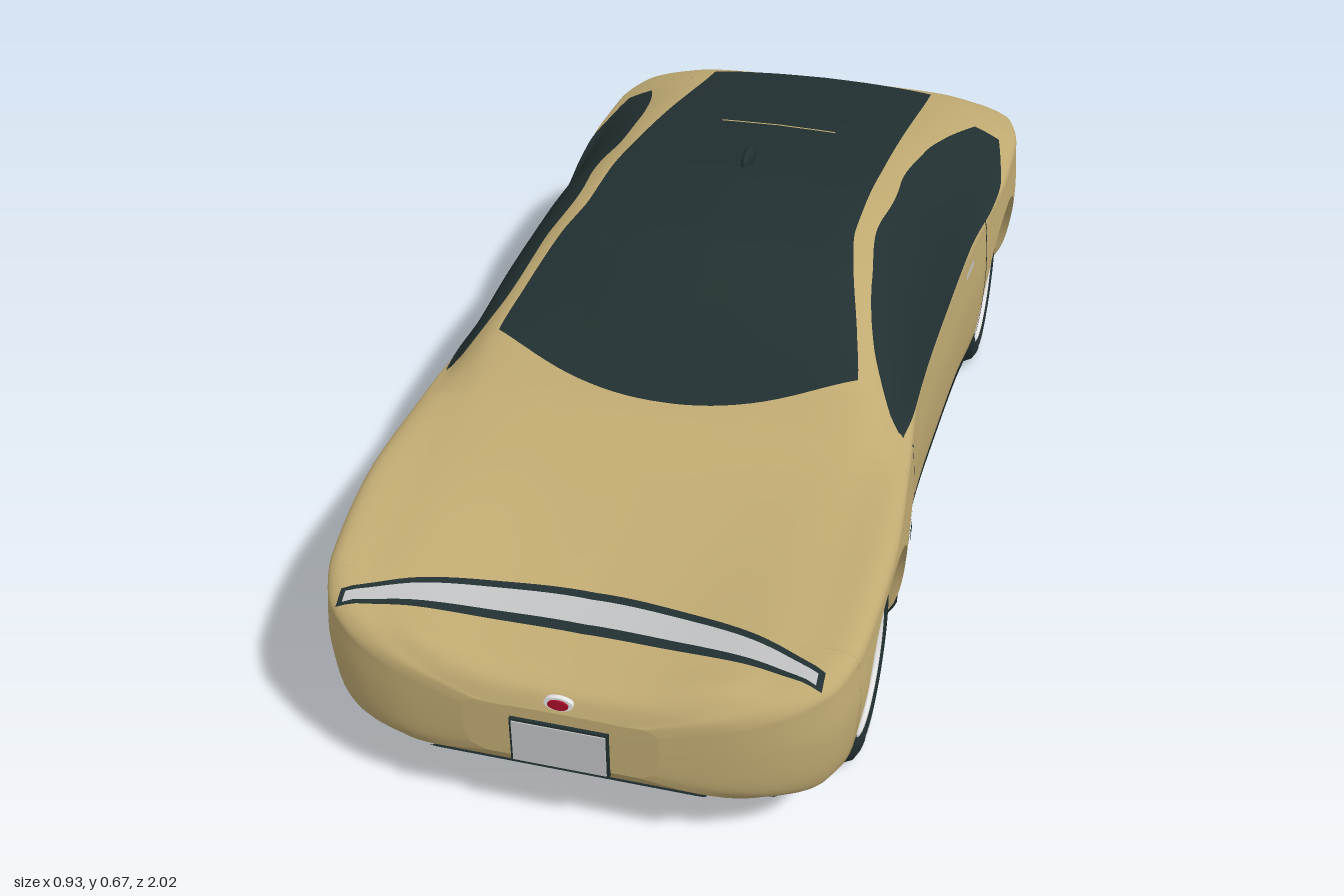
import * as THREE from 'three';

const mat = (name, color, side = THREE.DoubleSide) => {
  const m = new THREE.MeshStandardMaterial({ color, side });
  m.name = name;
  return m;
};
const M = {
  paint: mat('gold paint', 0xc0aa72), dark: mat('dark glass and trim', 0x223031),
  silver: mat('silver', 0xbfc1c3), white: mat('white', 0xe6e6e6), red: mat('red', 0xa80f2a),
};

// Body stations: z, half width, floor y, shoulder y, window base x, roof edge x, roof edge y, centre top y
const ST = [
  [-1, .31, .20, .42, .29, .25, .445, .45], [-.985, .37, .15, .435, .35, .27, .462, .468],
  [-.93, .435, .112, .445, .405, .28, .488, .497], [-.8, .463, .085, .45, .435, .295, .512, .527],
  [-.65, .466, .075, .45, .437, .29, .543, .558], [-.5, .455, .07, .446, .43, .288, .572, .588],
  [-.3, .437, .07, .44, .422, .28, .604, .622], [-.1, .43, .07, .44, .418, .28, .625, .648],
  [.1, .426, .07, .44, .415, .287, .612, .643], [.25, .43, .07, .44, .413, .32, .55, .585],
  [.36, .441, .07, .435, .413, .335, .5, .515], [.44, .45, .07, .425, .42, .33, .455, .462],
  [.65, .466, .075, .4, .44, .3, .412, .4], [.82, .456, .085, .365, .43, .3, .372, .344],
  [.9, .43, .095, .338, .4, .28, .346, .325], [.95, .375, .115, .315, .345, .25, .335, .313],
  [.985, .28, .14, .285, .26, .18, .3, .297], [1, .16, .165, .255, .14, .1, .266, .268],
];

// Smooth interpolation without overshoot
function interp(t, c, z) {
  const n = t.length - 1;
  z = Math.min(Math.max(z, t[0][0]), t[n][0]);
  let i = 0;
  while (i < n - 1 && z > t[i + 1][0]) i++;
  const d = k => (t[k + 1][c] - t[k][c]) / (t[k + 1][0] - t[k][0]);
  const slope = k => {
    if (k === 0) return d(0);
    if (k === n) return d(n - 1);
    const a = d(k - 1), b = d(k);
    return a * b <= 0 ? 0 : 2 * a * b / (a + b);
  };
  const h = t[i + 1][0] - t[i][0], u = (z - t[i][0]) / h, u2 = u * u, u3 = u2 * u;
  return t[i][c] * (2 * u3 - 3 * u2 + 1) + slope(i) * h * (u3 - 2 * u2 + u)
    + t[i + 1][c] * (3 * u2 - 2 * u3) + slope(i + 1) * h * (u3 - u2);
}

// Half cross-section at z, from floor edge to roof centre
const cache = new Map();
function section(z) {
  if (cache.has(z)) return cache.get(z);
  const [W, B, S, G, R, Y, T] = [1, 2, 3, 4, 5, 6, 7].map(c => interp(ST, c, z));
  const H = S - B, gy = S + .012, k = .08 * Math.max(0, Y - gy);
  const pts = [[W * .78, B], [W * .94, B + H * .15], [W, B + H * .6], [W * .99, S - H * .08], [W * .982, S],
    [G, gy], [(G + R) / 2 + k, (gy + Y) / 2 + k], [R, Y], [R * .5, Y + .75 * (T - Y)], [0, T]];
  const s = new THREE.CatmullRomCurve3(pts.map(p => new THREE.Vector3(p[0], p[1], 0))).getPoints(90);
  cache.set(z, s);
  return s;
}
function crossing(s, key, v, sign) {
  for (let i = 1; i < s.length; i++) {
    if (sign * s[i][key] >= sign * v) {
      const a = s[i - 1][key], b = s[i][key];
      return i - 1 + Math.min(1, Math.max(0, (v - a) / (b - a || 1)));
    }
  }
  return s.length - 1;
}
function pointAt(s, f) {
  const i = Math.min(Math.floor(f), s.length - 2);
  return s[i].clone().lerp(s[i + 1], f - i);
}
const xAt = (y, z) => { const s = section(z); return pointAt(s, crossing(s, 'y', y, 1)).x; };
function yAt(x, z) {
  const s = section(z), top = s.slice(45);
  return pointAt(top, crossing(top, 'x', Math.abs(x), -1)).y;
}
// Depth of the nose or tail at (x, y)
function endZ(x, y, dir) {
  let a = .6, b = 1;
  for (let i = 0; i < 14; i++) {
    const m = (a + b) / 2, z = m * dir, s = section(z);
    const inside = y >= s[0].y && Math.abs(x) <= xAt(y, z) && y <= yAt(x, z);
    if (inside) a = m; else b = m;
  }
  return a * dir;
}

// Surface through rows of points
function skin(rows) {
  const n = rows[0].length, pos = [], idx = [];
  rows.forEach(r => r.forEach(p => pos.push(p[0], p[1], p[2])));
  for (let i = 0; i < rows.length - 1; i++) for (let j = 0; j < n - 1; j++) {
    const a = i * n + j, b = a + n;
    idx.push(a, b, a + 1, b, b + 1, a + 1);
  }
  const g = new THREE.BufferGeometry();
  g.setAttribute('position', new THREE.Float32BufferAttribute(pos, 3));
  g.setIndex(idx);
  g.computeVertexNormals();
  return g;
}
const patch = (nu, nv, f) => skin(Array.from({ length: nu + 1 }, (_, i) =>
  Array.from({ length: nv + 1 }, (_, j) => f(i / nu, j / nv))));
const lerp = THREE.MathUtils.lerp;

const ARCH = .205, HUB = .172, AXLES = [.65, -.645];

export function createModel() {
  const car = new THREE.Group();
  car.name = 'car';
  const add = (name, geo, m, parent = car) => {
    const mesh = new THREE.Mesh(geo, m);
    mesh.name = name;
    parent.add(mesh);
    return mesh;
  };

  // Stations, denser around the wheel arches
  let zs = Array.from({ length: 91 }, (_, i) => -Math.cos(Math.PI * i / 90));
  AXLES.forEach(c => {
    zs = zs.filter(z => Math.abs(z - c) > ARCH + .002);
    for (let k = 0; k <= 24; k++) zs.push(c + ARCH * Math.cos(Math.PI * k / 24) * .9999);
    zs.push(c + ARCH + .0002, c - ARCH - .0002);
  });
  zs.sort((a, b) => a - b);
  const axleNear = z => AXLES.find(c => Math.abs(z - c) < ARCH);

  // Body shell with open arches, and floor
  const shell = zs.map(z => {
    const s = section(z), c = axleNear(z);
    const f0 = c === undefined ? 0 : crossing(s, 'y', HUB + Math.sqrt(ARCH ** 2 - (z - c) ** 2), 1);
    const half = Array.from({ length: 49 }, (_, j) => pointAt(s, lerp(f0, s.length - 1, j / 48)));
    return [...half.map(p => [p.x, p.y, z]), ...half.slice(0, -1).reverse().map(p => [-p.x, p.y, z])];
  });
  const floor = zs.map(z => {
    const p = section(z)[0], w = axleNear(z) === undefined ? p.x : Math.min(p.x, .3);
    return [[-w, p.y, z], [0, p.y, z], [w, p.y, z]];
  });
  for (const rows of [shell, floor]) {
    const collapse = (r, y, z) => r.map(() => [0, y, z]);
    rows.unshift(collapse(rows[0], .32, -1));
    rows.push(collapse(rows[0], .215, 1));
  }
  add('bodyShell', skin(shell), M.paint);
  add('floor', skin(floor), M.paint);

  // Windscreen, roof and rear window in one glass panel
  const roofW = [[-.93, .25], [0, .255], [.12, .275], [.25, .31], [.34, .33], [.43, .335]];
  add('roofGlass', patch(70, 30, (u, v) => {
    const s = v * 2 - 1, z = lerp(.42 - .09 * s * s, -.92 + .03 * s * s, u), x = s * interp(roofW, 1, z);
    return [x, yAt(x, z) + .005, z];
  }), M.dark);
  const topStrip = (name, m, w, z0, z1, off) => add(name, patch(2, 20, (u, v) => {
    const x = lerp(-w, w, v), z = lerp(z0, z1, u);
    return [x, yAt(x, z) + off, z];
  }), m);
  topStrip('roofSeam', M.paint, .12, -.448, -.455, .007);
  topStrip('wiper', M.dark, .08, .395, .402, .011);

  // Side panels laid on the flanks
  const side = (name, m, z0, z1, lo, hi, off = .004, nz = 40, ny = 12) => [1, -1].forEach(k =>
    add(name, patch(nz, ny, (u, v) => {
      const z = lerp(z0, z1, u), y = lerp(lo(z), hi(z), v);
      return [k * (xAt(y, z) + off), y, z];
    }), m));
  const flat = y => () => y;
  const top = [[-.77, .497], [-.6, .542], [-.48, .57], [-.24, .608], [-.05, .622], [.11, .602], [.25, .542], [.35, .475], [.37, .452]];
  const base = [[-.77, .472], [-.45, .447], [.37, .445]];
  side('sideWindow', M.dark, -.77, .37, z => interp(base, 1, z), z => interp(top, 1, z), .005, 70);
  side('sill', M.dark, -.44, .445, flat(.112), flat(.143));
  for (const z of [.368, -.442]) side('doorGap', M.dark, z - .0025, z + .0025, flat(.14), flat(.445), .002, 1, 16);
  side('doorHandle', M.silver, -.32, -.25, flat(.408), flat(.42), .006, 4, 1);
  side('sideMarker', M.dark, .455, .49, flat(.318), flat(.335), .004, 2, 1);

  // Front light bar
  const bar = (name, m, t, w, off) => add(name, patch(8, 48, (u, v) => {
    const s = v * 2 - 1, z = .842 + .07 * s * s + (u * 2 - 1) * t * (1 - .65 * s * s), x = s * w;
    return [x, yAt(x, z) + off, z];
  }), m);
  bar('lightBarFrame', M.dark, .04, .4, .005);
  bar('lightBar', M.silver, .024, .39, .008);

  // Panels on nose and tail
  const end = (name, m, w, y0, y1, dir, off) => add(name, patch(32, 6, (u, v) => {
    const x = lerp(-w, w, u), y = lerp(y0, y1, v);
    return [x, y, endZ(x, y, dir) + dir * off];
  }), m);
  end('frontGrille', M.dark, .23, .1, .14, 1, .005);
  end('frontLip', M.dark, .35, .09, .1, 1, .006);
  end('rearDiffuser', M.dark, .38, .115, .175, -1, .005);
  end('tailLightFrame', M.dark, .3, .4, .428, -1, .003);
  end('tailLight', M.red, .295, .405, .423, -1, .006);
  const plate = (w, y, h, dir) => {
    add('plateFrame', new THREE.BoxGeometry(w + .008, h + .008, .008), M.dark).position.set(0, y, dir * 1.002);
    add('plate', new THREE.BoxGeometry(w, h, .008), M.silver).position.set(0, y, dir * 1.004);
  };
  plate(.155, .203, .08, 1);
  plate(.15, .335, .08, -1);
  const badge = (y, dir, s) => [['badgeRim', M.white, .024, .003], ['badge', M.red, .017, .006]].forEach(([n, m, r, o]) => {
    const b = add(n, new THREE.CylinderGeometry(r * s, r * s, .008, 28), m);
    b.rotation.x = Math.PI / 2;
    b.scale.z = .55;
    b.position.set(0, y, endZ(0, y, dir) + dir * o);
  });
  badge(.287, 1, 1);
  badge(.262, -1, .8);

  // Roof antenna and underbody slots
  const fin = add('antenna', new THREE.SphereGeometry(1, 20, 12), M.dark);
  fin.scale.set(.011, .02, .042);
  fin.position.set(0, .65, -.2);
  for (let i = 0; i < 4; i++) {
    const slot = add('underbodySlot', new THREE.BoxGeometry(.014, .008, .09), M.dark);
    slot.position.set((i - 1.5) * .085, .076, -.7);
  }

  // Wheel arch liners and wheels
  const tyre = new THREE.LatheGeometry([[.118, .05], [.13, .058], [.15, .058], [.163, .05], [.17, .035], [.17, -.035],
    [.163, -.05], [.15, -.058], [.125, -.058], [.1, -.045], [0, -.045]].map(p => new THREE.Vector2(...p)), 56);
  for (const zc of AXLES) for (const k of [1, -1]) {
    const lining = (name, m, a, b) => add(name, patch(40, 2, (u, v) => {
      const t = Math.min(1, Math.max(0, (u * 40 - 1) / 38)) * Math.PI;
      const z = zc + ARCH * Math.cos(t) * .9999;
      const y = u === 0 || u === 1 ? section(z)[0].y : HUB + ARCH * Math.sin(t);
      const outer = xAt(y, z);
      return [k * lerp(a(outer), b(outer), v), y, z];
    }), m);
    lining('archLip', M.paint, x => x, x => x - .05);
    lining('archLiner', M.dark, x => x - .05, () => .3);

    const wheel = new THREE.Group();
    wheel.name = 'wheel';
    wheel.position.set(k * .372, HUB, zc);
    wheel.rotation.z = -k * Math.PI / 2;
    car.add(wheel);
    add('tyre', tyre, M.dark, wheel);
    add('rimDish', new THREE.CylinderGeometry(.121, .121, .01, 48), M.silver, wheel).position.y = .036;
    const ring = (name, r, t, y, m) => {
      const g = add(name, new THREE.TorusGeometry(r, t, 8, 48), m, wheel);
      g.rotation.x = Math.PI / 2;
      g.position.y = y;
    };
    ring('rimEdge', .12, .006, .05, M.white);
    ring('hubRing', .03, .004, .047, M.dark);
    add('hubCap', new THREE.CylinderGeometry(.026, .03, .014, 28), M.silver, wheel).position.y = .045;
    for (let i = 0; i < 20; i++) {
      const a = i / 20 * Math.PI * 2;
      const spoke = add('spoke', new THREE.BoxGeometry(.08, .008, .006), M.white, wheel);
      spoke.position.set(Math.cos(a) * .074, .043, -Math.sin(a) * .074);
      spoke.rotation.y = a;
    }
    // Pale marks at top and bottom of the tyre wall
    for (const a of [0, Math.PI]) {
      const mark = add('tyreMark', new THREE.RingGeometry(.138, .146, 12, 1, a - .25, .5), M.white, wheel);
      mark.rotation.x = -Math.PI / 2;
      mark.position.y = .0595;
    }
  }
  return car;
}
